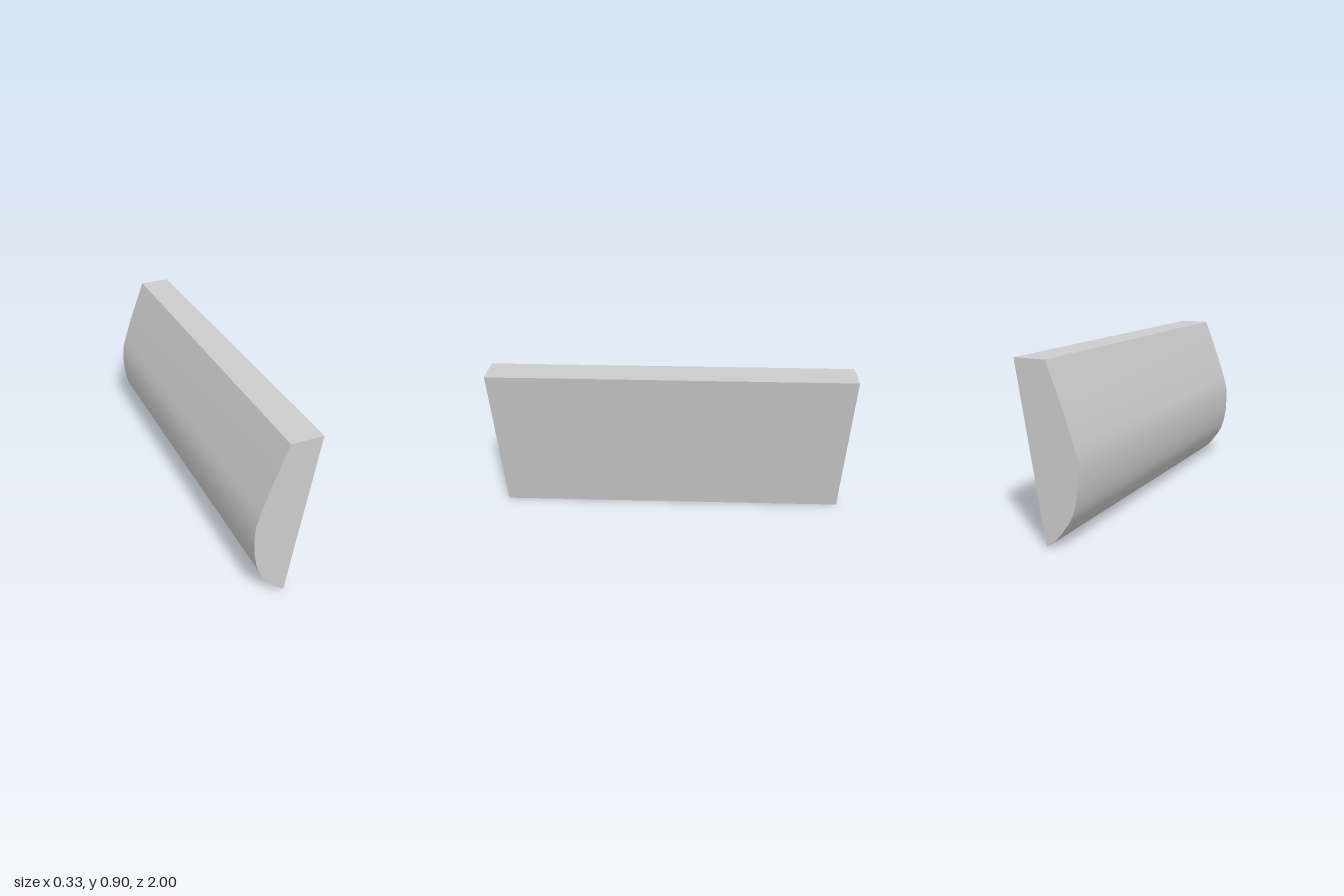
import * as THREE from 'three';
import { toCreasedNormals } from 'three/addons/utils/BufferGeometryUtils.js';

// Cross-section, counter-clockwise: flat slanted face, top, then the bulging side
const PROFILE = [
  [0.013, 0], [0.166, 0.905], [-0.006, 0.905], [-0.101, 0.66], [-0.141, 0.54],
  [-0.162, 0.47], [-0.167, 0.39], [-0.163, 0.305], [-0.149, 0.225], [-0.135, 0.18],
  [-0.115, 0.14], [-0.074, 0.083], [-0.038, 0.04],
];
const LENGTH = 2;

export function createModel() {
  const group = new THREE.Group();
  group.name = 'curvedPanel';

  const shape = new THREE.Shape(PROFILE.map(([x, y]) => new THREE.Vector2(x, y)));
  const extruded = new THREE.ExtrudeGeometry(shape, { depth: LENGTH, bevelEnabled: false });
  extruded.translate(0, 0, -LENGTH / 2);

  // Smooth along the bulge, sharp at the flat face, top and ends
  const body = new THREE.Mesh(
    toCreasedNormals(extruded, 0.6),
    new THREE.MeshStandardMaterial({ color: 0xcccccc }),
  );
  body.name = 'panelBody';
  group.add(body);
  return group;
}
